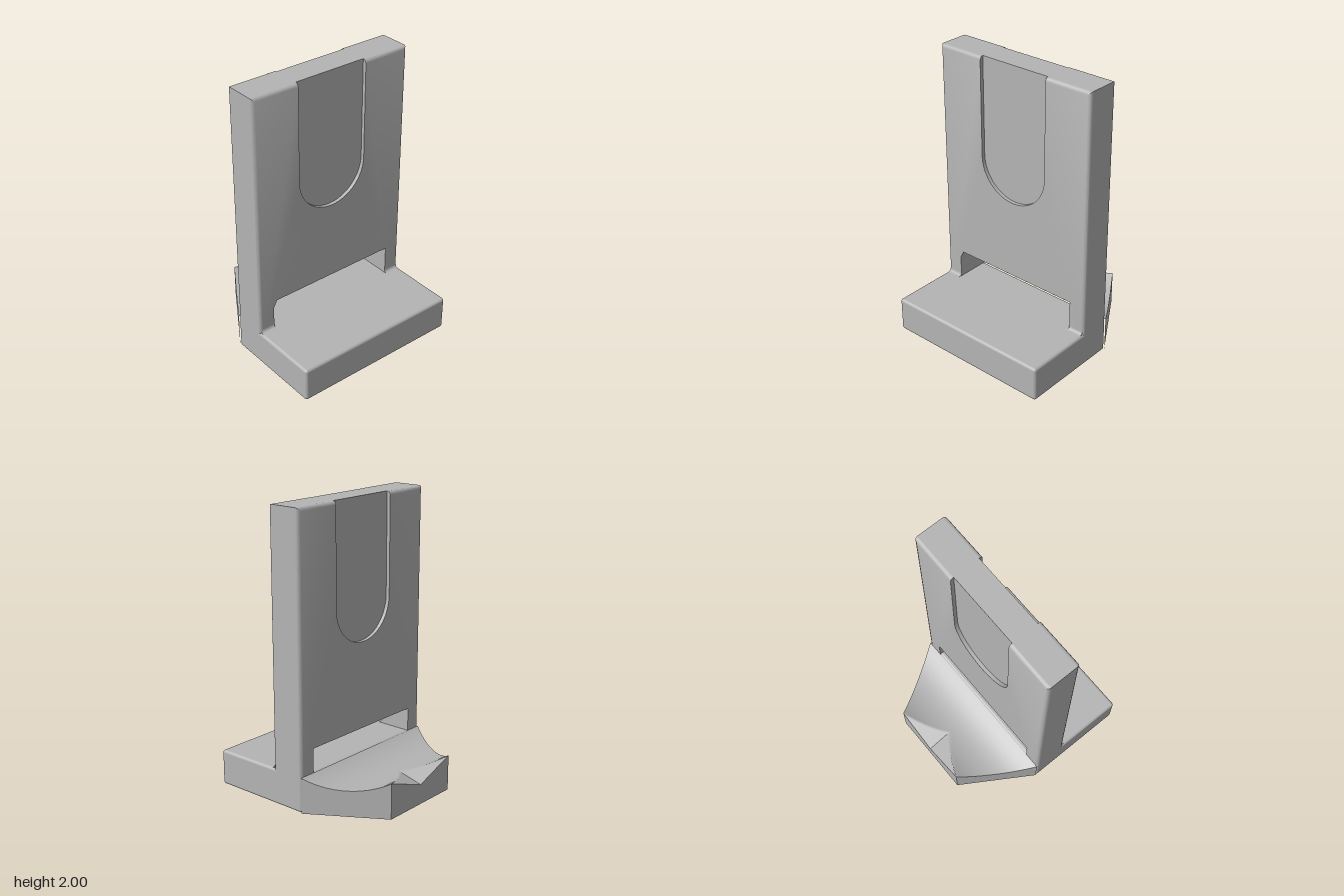
import * as THREE from 'three';
import { toCreasedNormals } from 'three/addons/utils/BufferGeometryUtils.js';
import { RoundedBoxGeometry } from 'three/addons/geometries/RoundedBoxGeometry.js';

const W = 0.62, T = 0.123, D = 0.62, BASE = 0.25, TOP = 2;
const CORE = 0.097, R = 0.024; // recess floor and edge rounding
const SLOT = 0.5, SLOT_TOP = 0.44, RECESS = 0.27, RECESS_Y = 1.3;

// Outline of the upright with the slot open at the bottom, optionally with the U-shaped cut
function uprightShape(withRecess) {
  const s = new THREE.Shape();
  s.moveTo(-W, 0.225);
  s.lineTo(-SLOT, 0.225);
  s.lineTo(-SLOT, SLOT_TOP);
  s.lineTo(SLOT, SLOT_TOP);
  s.lineTo(SLOT, 0.225);
  s.lineTo(W, 0.225);
  s.lineTo(W, TOP);
  if (withRecess) {
    s.lineTo(RECESS, TOP);
    s.lineTo(RECESS, RECESS_Y);
    s.absarc(0, RECESS_Y, RECESS, 0, -Math.PI, true);
    s.lineTo(-RECESS, TOP);
  }
  s.lineTo(-W, TOP);
  s.closePath();
  return s;
}

// One layer of the upright: rounds the outer edges and tilts the slot ceiling
function uprightLayer(withRecess, z0, depth, steps) {
  const g = new THREE.ExtrudeGeometry(uprightShape(withRecess), { depth, steps, bevelEnabled: false, curveSegments: 40 });
  g.translate(0, 0, z0);
  const p = g.attributes.position;
  for (let i = 0; i < p.count; i++) {
    const x = p.getX(i), y = p.getY(i), z = p.getZ(i);
    const t = Math.min(1, Math.max(0, (Math.abs(z) - (T - R)) / R));
    const inset = R * (1 - Math.sqrt(1 - t * t));
    if (Math.abs(x) > W - 1e-4) p.setX(i, Math.sign(x) * (W - inset));
    if (y > TOP - 1e-4) p.setY(i, TOP - inset);
    if (Math.abs(y - SLOT_TOP) < 1e-4 && Math.abs(x) < SLOT + 1e-4) p.setY(i, SLOT_TOP + 0.022 * z / T);
  }
  return toCreasedNormals(g, 0.6);
}

// Grid patch from a rule (u right, v up, seen from outside)
function patch(rule, nu, nv) {
  const g = new THREE.PlaneGeometry(1, 1, nu, nv);
  const p = g.attributes.position;
  for (let i = 0; i < p.count; i++) p.setXYZ(i, ...rule(p.getX(i) + 0.5, p.getY(i) + 0.5));
  return toCreasedNormals(g, 0.5);
}

// Tapered rear foot: hollowed across, with a V notch rising from the rear edge
const Z0 = -T, Z1 = -D;
const footZ = (t) => Z0 + (Z1 - Z0) * t;
const footX = (t) => W + (0.31 - W) * t;
function footY(x, z) {
  const r = 0.481, d = z - (Z0 + Z1) / 2;
  const hollow = 0.18 + r - Math.sqrt(r * r - d * d);
  const notch = 0.14 + 0.355 * Math.abs(x) + 0.25 * (z - Z1);
  return Math.min(hollow, notch, BASE);
}

export function createModel() {
  const model = new THREE.Group();
  const grey = new THREE.MeshStandardMaterial({ color: 0xb4b4b4 });
  grey.name = 'plain grey';
  const add = (name, geometry) => {
    const m = new THREE.Mesh(geometry, grey);
    m.name = name;
    model.add(m);
    return m;
  };

  // Base slab under and in front of the upright
  const base = add('baseSlab', new RoundedBoxGeometry(W * 2, BASE, D + T, 4, 0.02));
  base.position.set(0, BASE / 2, (D - T) / 2);

  // Upright: solid core with a recessed skin on front and back
  add('uprightCore', uprightLayer(false, -CORE, CORE * 2, 1));
  add('uprightFront', uprightLayer(true, CORE, T - CORE, 5));
  add('uprightBack', uprightLayer(true, -T, T - CORE, 5));

  // Small concave fillets where the upright's legs meet the base
  const fillet = new THREE.Shape();
  fillet.moveTo(0, 0);
  fillet.lineTo(-0.022, 0);
  fillet.absarc(-0.022, 0.022, 0.022, -Math.PI / 2, 0, false);
  fillet.closePath();
  for (const side of [-1, 1]) {
    const g = new THREE.ExtrudeGeometry(fillet, { depth: W - SLOT - 0.01, bevelEnabled: false, curveSegments: 6 });
    g.rotateY(Math.PI / 2);
    const m = add('legFillet', toCreasedNormals(g, 0.6));
    m.position.set(side > 0 ? SLOT : -W + 0.01, BASE, T);
  }

  // Rear foot
  const foot = new THREE.Group();
  foot.name = 'rearFoot';
  model.add(foot);
  const face = (name, rule, nu, nv) => foot.add(add(name, patch(rule, nu, nv)));
  face('footTop', (u, v) => {
    const x = (2 * u - 1) * footX(v), z = footZ(v);
    return [x, footY(x, z), z];
  }, 64, 48);
  face('footBottom', (u, v) => [(2 * u - 1) * footX(1 - v), 0, footZ(1 - v)], 1, 1);
  face('footBack', (u, v) => {
    const x = (1 - 2 * u) * footX(1);
    return [x, v * footY(x, Z1), Z1];
  }, 64, 1);
  face('footLeftSide', (u, v) => [footX(u), v * footY(footX(u), footZ(u)), footZ(u)], 48, 1);
  face('footRightSide', (u, v) => [-footX(1 - u), v * footY(footX(1 - u), footZ(1 - u)), footZ(1 - u)], 48, 1);

  return model;
}
